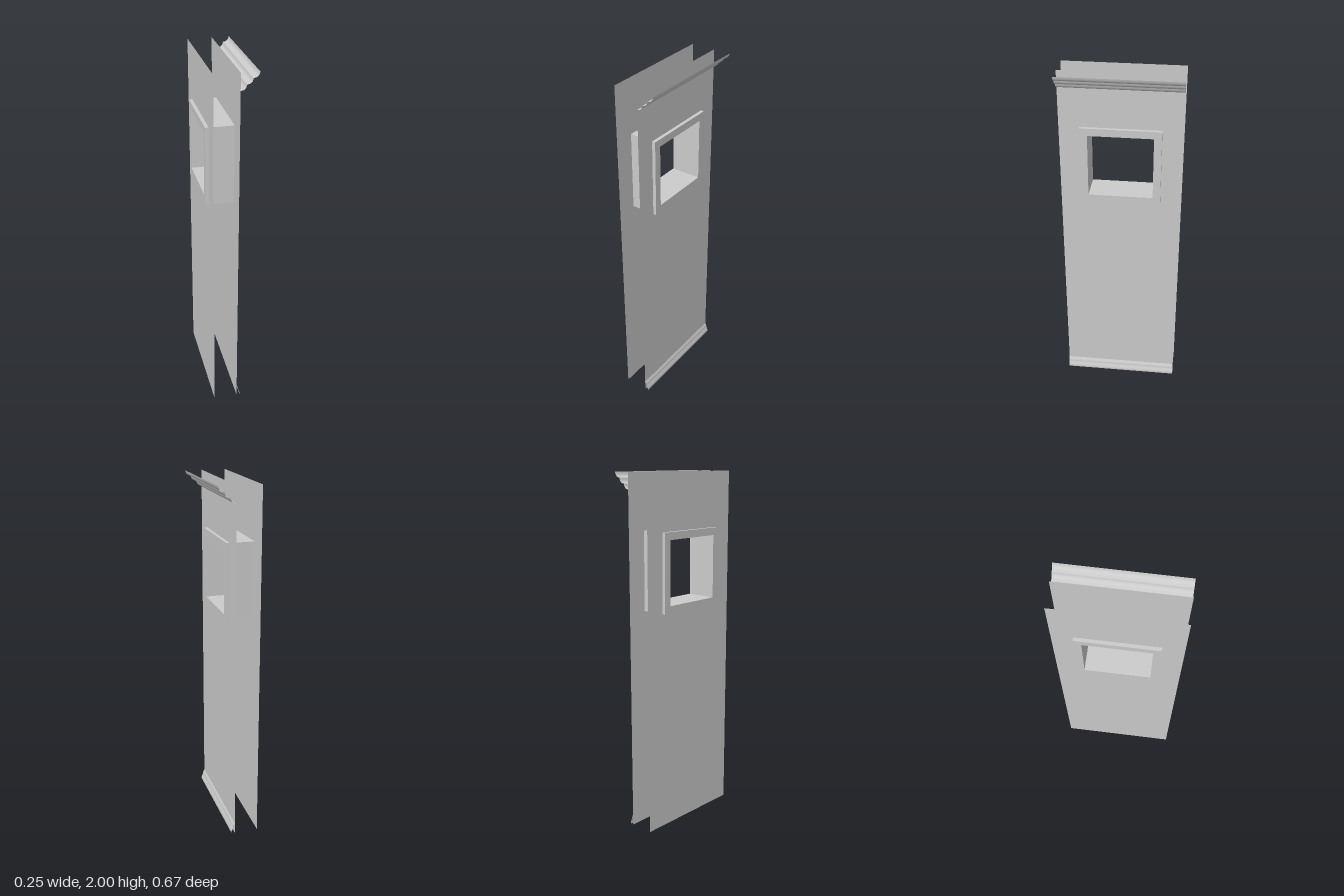
import * as THREE from 'three';

const HALF = 0.333;           // half length of the wall along z
const OUTER = 0.028, INNER = -0.108; // x of the two wall sheets
const WIN_Y = 1.47;           // window centre height

const grey = new THREE.MeshStandardMaterial({ color: 0xcccccc, side: THREE.DoubleSide });

function rect(cy, halfW, halfH, Type = THREE.Shape) {
  return new Type([
    new THREE.Vector2(-halfW, cy - halfH), new THREE.Vector2(halfW, cy - halfH),
    new THREE.Vector2(halfW, cy + halfH), new THREE.Vector2(-halfW, cy + halfH),
  ]);
}

// Open strip swept along z; profile(t) gives (x, y) from bottom to top
function molding(profile, steps) {
  const geo = new THREE.PlaneGeometry(2 * HALF, 1, 1, steps);
  const pos = geo.attributes.position;
  for (let i = 0; i < pos.count; i++) {
    const p = profile(pos.getY(i) + 0.5);
    pos.setXYZ(i, p.x, p.y, -pos.getX(i));
  }
  geo.computeVertexNormals();
  return geo;
}

export function createModel() {
  const group = new THREE.Group();
  const add = (name, geo) => {
    const mesh = new THREE.Mesh(geo, grey);
    mesh.name = name;
    group.add(mesh);
    return mesh;
  };

  // Two thin wall sheets with a window opening
  const wall = rect(1, HALF, 1);
  wall.holes.push(rect(WIN_Y, 0.22, 0.22, THREE.Path));
  const outerGeo = new THREE.ShapeGeometry(wall).rotateY(Math.PI / 2);
  add('outerWall', outerGeo).position.x = OUTER;
  const innerGeo = new THREE.ShapeGeometry(wall).rotateY(-Math.PI / 2);
  add('innerWall', innerGeo).position.x = INNER;

  // Window frame running through both sheets
  const frame = rect(WIN_Y, 0.22, 0.22);
  frame.holes.push(rect(WIN_Y, 0.178, 0.178, THREE.Path));
  const frameGeo = new THREE.ExtrudeGeometry(frame, { depth: 0.174, bevelEnabled: false });
  add('windowFrame', frameGeo.rotateY(Math.PI / 2)).position.x = -0.127;

  // Crown molding: three rounded lobes on a slope
  add('crownMolding', molding((t) => {
    const bulge = 0.009 * Math.abs(Math.sin(3 * Math.PI * t));
    return new THREE.Vector2(OUTER + 0.097 * t + bulge * 0.68, 1.91 + 0.09 * t - bulge * 0.73);
  }, 36));

  // Baseboard molding: shallow cove above a rounded foot
  const base = new THREE.SplineCurve([
    [0.047, 0], [0.047, 0.012], [0.042, 0.026], [0.038, 0.036], [0.036, 0.048], [OUTER, 0.065],
  ].map(([x, y]) => new THREE.Vector2(x, y)));
  add('baseMolding', molding((t) => base.getPoint(t), 20));

  return group;
}
